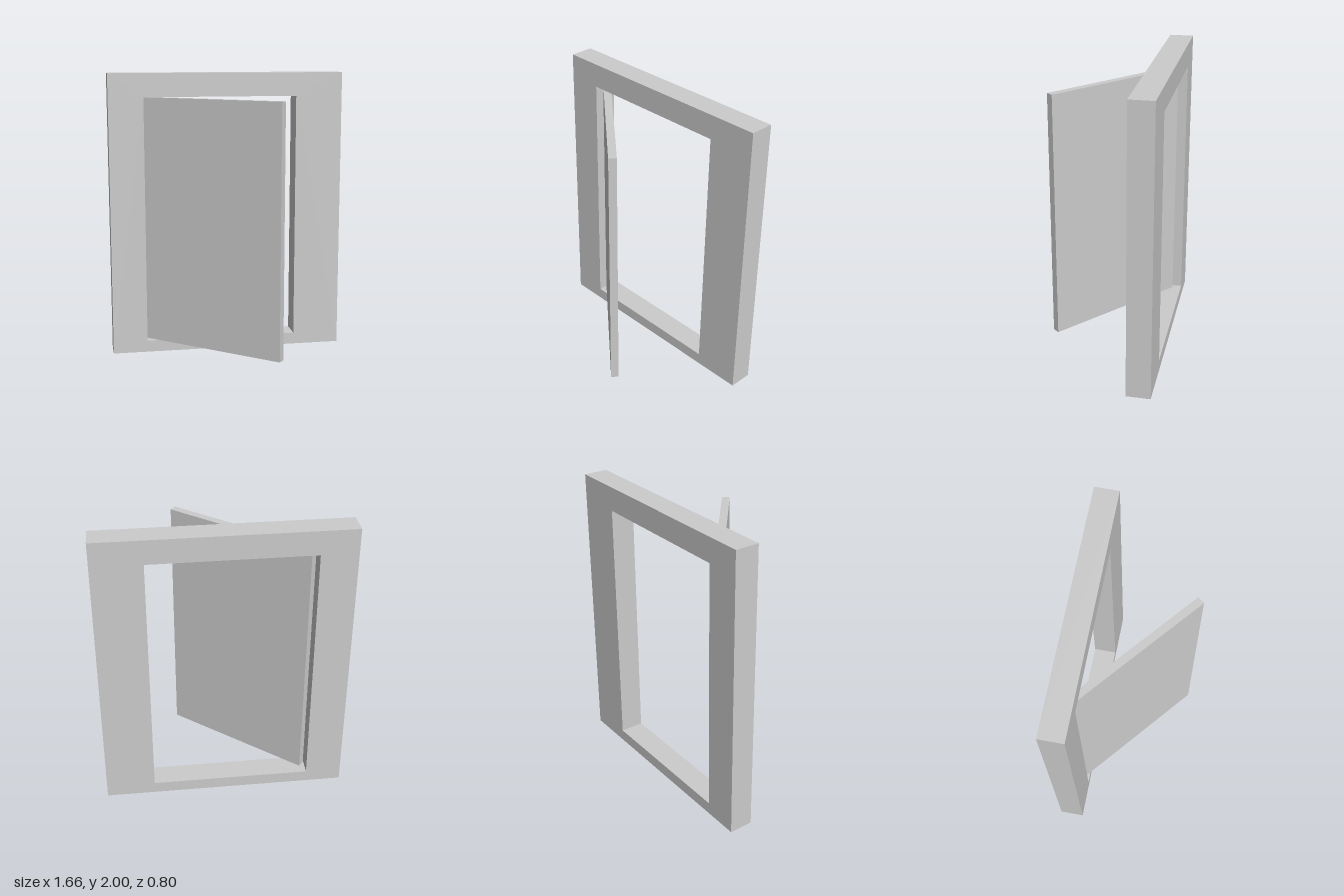
import * as THREE from 'three';

const material = new THREE.MeshStandardMaterial({ color: 0xcccccc });

// Closed rectangle with corners (x0, y0) and (x1, y1)
function rectangle(PathType, x0, y0, x1, y1) {
  return new PathType([[x0, y0], [x1, y0], [x1, y1], [x0, y1]].map(([x, y]) => new THREE.Vector2(x, y)));
}

export function createModel() {
  const model = new THREE.Group();
  model.name = 'openDoorway';

  // Wall slab with a slightly off-centre opening
  const outline = rectangle(THREE.Shape, -0.832, 0, 0.832, 2);
  outline.holes.push(rectangle(THREE.Path, -0.587, 0.083, 0.498, 1.835));
  const frame = new THREE.Mesh(
    new THREE.ExtrudeGeometry(outline, { depth: 0.165, bevelEnabled: false }),
    material
  );
  frame.name = 'frame';
  frame.position.z = -0.4;
  model.add(frame);

  // Door leaf, swung 40 degrees forward about its hinge edge
  const width = 1.085, height = 1.747, thickness = 0.053;
  const hinge = new THREE.Group();
  hinge.name = 'doorHinge';
  hinge.position.set(-0.583, 0.086, -0.297);
  hinge.rotation.y = THREE.MathUtils.degToRad(-40);
  const door = new THREE.Mesh(new THREE.BoxGeometry(width, height, thickness), material);
  door.name = 'door';
  door.position.set(width / 2, height / 2, -thickness / 2);
  hinge.add(door);
  model.add(hinge);

  return model;
}
